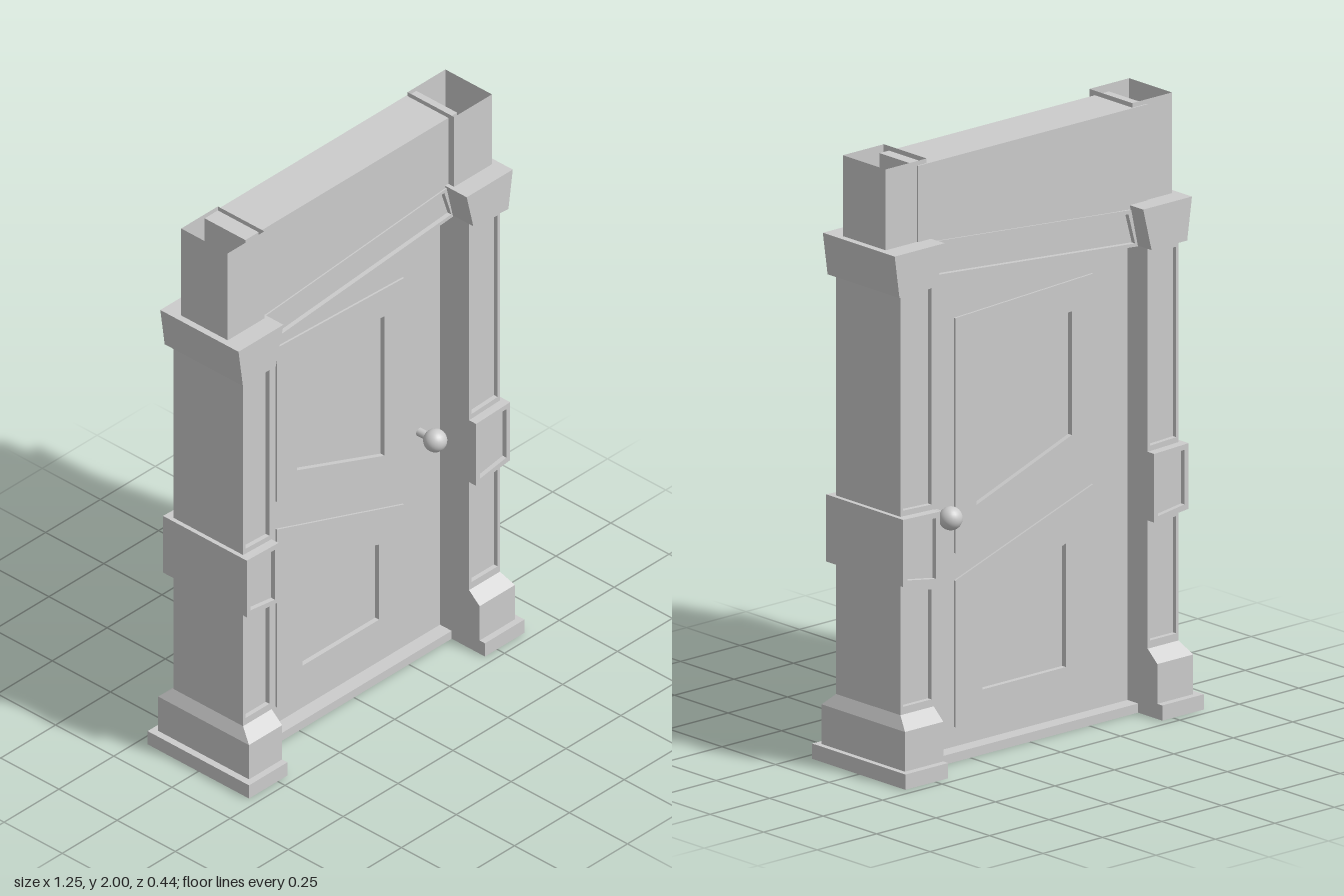
import * as THREE from 'three';

const material = new THREE.MeshStandardMaterial({ color: 0xcccccc, side: THREE.DoubleSide, flatShading: true });
const smooth = new THREE.MeshStandardMaterial({ color: 0xcccccc });
const MID_Z = -0.015; // centre plane of door, lintel and sill

function addMesh(parent, name, geometry, mat = material) {
  const mesh = new THREE.Mesh(geometry, mat);
  mesh.name = name;
  parent.add(mesh);
  return mesh;
}

// Open rectangular tube through sections [xl, yl, xr, yr, halfDepth, inset].
// A section with an inset margin [mx, my] gets a sunken panel front and back below it.
function loft(sections, depth = 0.016) {
  const pos = [];
  const quad = (a, b, c, d) => pos.push(...a, ...b, ...c, ...a, ...c, ...d);
  const ring = ([xl, yl, xr, yr, z]) => [[xl, yl, z], [xr, yr, z], [xr, yr, -z], [xl, yl, -z]];

  function sunkenPanel(corners, [mx, my]) {
    const cx = corners.reduce((s, p) => s + p[0], 0) / 4;
    const cy = corners.reduce((s, p) => s + p[1], 0) / 4;
    // The two first corners are the bottom edge, the others the top edge
    const rim = corners.map(([x, y, z], i) => [x + mx * Math.sign(cx - x), y + (i < 2 ? my : -my), z]);
    const floor = rim.map(([x, y, z]) => [x, y, z - Math.sign(z) * depth]);
    for (let i = 0; i < 4; i++) {
      const j = (i + 1) % 4;
      quad(corners[i], corners[j], rim[j], rim[i]);
      quad(rim[i], rim[j], floor[j], floor[i]);
    }
    quad(...floor);
  }

  for (let s = 1; s < sections.length; s++) {
    const low = ring(sections[s - 1]), high = ring(sections[s]), inset = sections[s][5];
    for (let i = 0; i < 4; i++) {
      const j = (i + 1) % 4;
      const corners = [low[i], low[j], high[j], high[i]];
      if (inset && i % 2 === 0) sunkenPanel(corners, inset);
      else quad(...corners);
    }
  }
  const g = new THREE.BufferGeometry();
  g.setAttribute('position', new THREE.Float32BufferAttribute(pos, 3));
  g.computeVertexNormals();
  return g;
}

// Polygon with optional holes, extruded between two depths
function slab(points, z0, z1, holes = []) {
  const toVec = list => list.map(([x, y]) => new THREE.Vector2(x, y));
  const shape = new THREE.Shape(toVec(points));
  for (const h of holes) shape.holes.push(new THREE.Path(toVec(h)));
  const g = new THREE.ExtrudeGeometry(shape, { depth: z1 - z0, bevelEnabled: false });
  return g.translate(0, 0, z0);
}

// Post: side -1 or 1; p holds inner x and the uneven heights [outer, inner]
function postGeometry(side, p) {
  const sec = (y, outer, inner, z, inset) => {
    const [yo, yi] = Array.isArray(y) ? y : [y, y];
    return side < 0 ? [-outer, yo, -inner, yi, z, inset] : [inner, yi, outer, yo, z, inset];
  };
  const { inner, plinth, midLow, midHigh, capLow, capHigh, flare } = p;
  const long = [0.01, 0.018];
  return loft([
    // plinth and base block
    sec(0, plinth, inner, 0.218),
    sec(0.05, plinth, inner, 0.218),
    sec(0.05, 0.606, inner, 0.195),
    sec(0.18, 0.606, inner, 0.195),
    sec(0.22, 0.585, inner, 0.15),
    // shaft with middle block
    sec(midLow, 0.585, inner, 0.15, [0.01, 0.025]),
    sec(midLow, 0.6, inner, 0.18),
    sec(midHigh, 0.6, inner, 0.18, [0.017, 0.018]),
    sec(midHigh, 0.585, inner, 0.15),
    sec(capLow, 0.585, inner, 0.15, long),
    // flared capital
    sec(capLow, 0.605, inner, 0.168),
    sec(capHigh, 0.625, flare, 0.168),
    // open top
    sec(capHigh, 0.602, flare + 0.015, 0.1),
    sec(2, 0.602, flare + 0.015, 0.1),
  ]);
}

export function createModel() {
  const model = new THREE.Group();
  model.name = 'doorway';

  // Posts
  addMesh(model, 'rightPost', postGeometry(-1, {
    inner: 0.455, plinth: 0.63, midLow: [0.655, 0.64], midHigh: [0.87, 0.865],
    capLow: [1.53, 1.53], capHigh: [1.67, 1.67], flare: 0.42,
  }));
  addMesh(model, 'leftPost', postGeometry(1, {
    inner: 0.445, plinth: 0.625, midLow: [0.65, 0.63], midHigh: [0.87, 0.865],
    capLow: [1.595, 1.61], capHigh: [1.735, 1.735], flare: 0.415,
  }));

  // Slanted lintel with sunken panels, and the beam above it
  addMesh(model, 'lintel', loft([
    [-0.45, 1.53, 0.45, 1.605, 0],
    [-0.45, 1.53, 0.45, 1.605, 0.095],
    [-0.422, 1.655, 0.418, 1.726, 0.095, [0.012, 0.012]],
    [-0.422, 1.655, 0.418, 1.726, 0],
  ])).position.z = MID_Z;
  addMesh(model, 'beam', slab(
    [[-0.495, 1.65], [0.47, 1.725], [0.47, 1.985], [-0.495, 1.985]], -0.105, 0.075));

  // Sill, hollow underneath
  addMesh(model, 'sill', loft([
    [-0.455, 0, 0.445, 0, 0.09],
    [-0.455, 0.03, 0.445, 0.03, 0.09],
    [-0.455, 0.03, 0.445, 0.03, 0],
  ])).position.z = MID_Z;

  // Door leaf with raised crooked frames around sunken panels
  const door = new THREE.Group();
  door.name = 'door';
  model.add(door);
  const upperOuter = [[-0.305, 0.875], [0.275, 0.665], [0.275, 1.435], [-0.305, 1.46]];
  const upperInner = [[-0.215, 0.95], [0.185, 0.805], [0.185, 1.335], [-0.215, 1.355]];
  const lowerOuter = [[-0.305, 0.095], [0.275, 0.095], [0.275, 0.575], [-0.305, 0.77]];
  const lowerInner = [[-0.19, 0.195], [0.16, 0.195], [0.16, 0.48], [-0.19, 0.6]];
  addMesh(door, 'doorLeaf', slab(
    [[-0.455, 0.02], [0.445, 0.02], [0.445, 1.62], [-0.455, 1.545]],
    MID_Z - 0.04, MID_Z + 0.04, [upperOuter, lowerOuter]));
  for (const [name, outer, inner] of [['upper', upperOuter, upperInner], ['lower', lowerOuter, lowerInner]]) {
    addMesh(door, name + 'Frame', slab(outer, MID_Z - 0.047, MID_Z + 0.047, [inner]));
    addMesh(door, name + 'Panel', slab(inner, MID_Z - 0.03, MID_Z + 0.03));
  }

  // Knobs on both sides
  for (const s of [-1, 1]) {
    const knob = new THREE.Group();
    knob.name = s > 0 ? 'frontKnob' : 'backKnob';
    knob.position.set(0.35, 0.81, MID_Z + s * 0.109);
    addMesh(knob, 'knobBall', new THREE.SphereGeometry(0.038, 24, 16), smooth);
    const stem = addMesh(knob, 'knobStem', new THREE.CylinderGeometry(0.014, 0.014, 0.08, 16), smooth);
    stem.rotation.x = Math.PI / 2;
    stem.position.z = -s * 0.045;
    door.add(knob);
  }
  return model;
}
